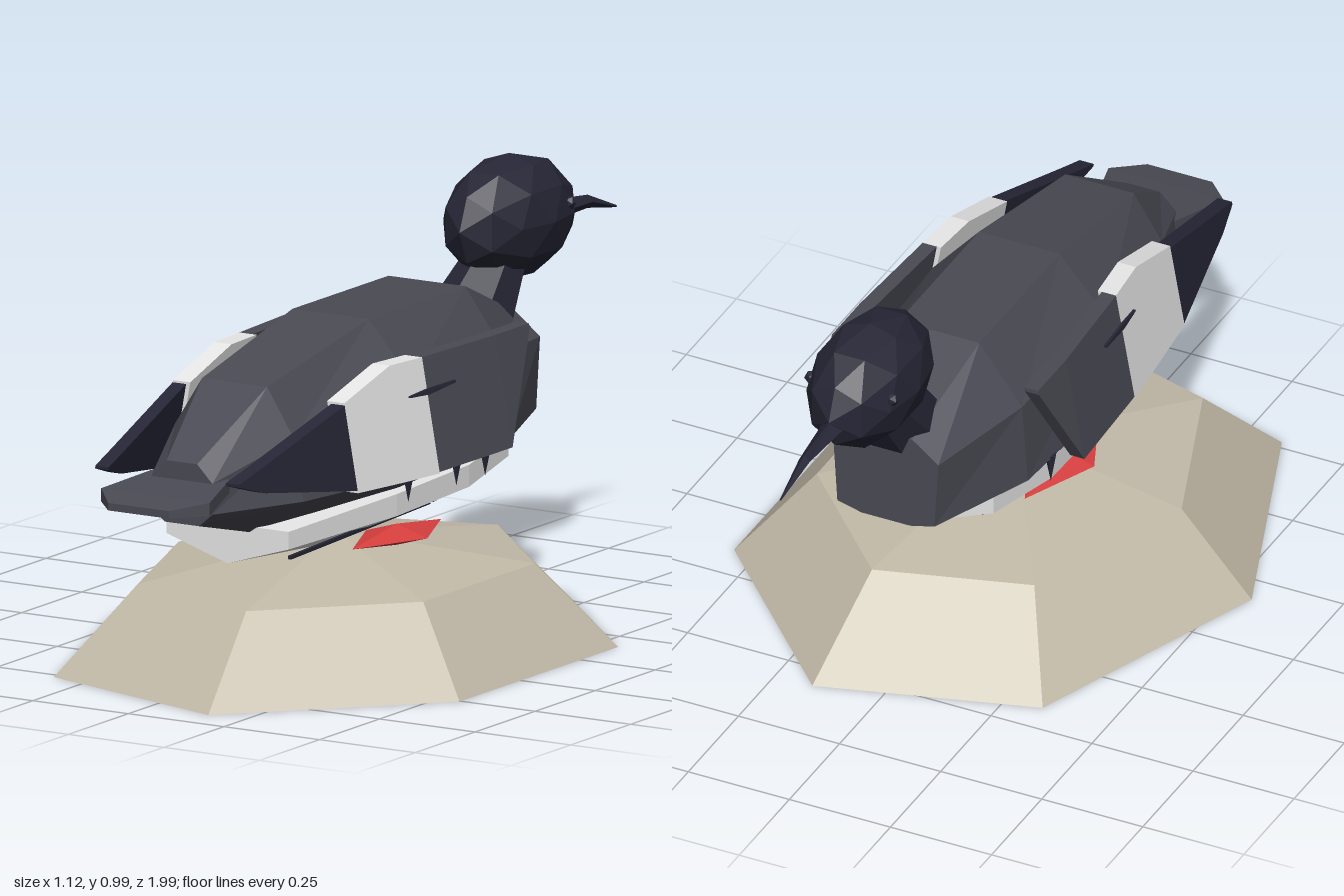
import * as THREE from 'three';

const material = (name, color) => {
  const m = new THREE.MeshStandardMaterial({ color });
  m.name = name;
  m.flatShading = true;
  return m;
};

// Skin a list of { z, ring } sections; each ring is [x, y] points, counter-clockwise seen from +z.
function loft(sections) {
  const pos = [];
  const tri = (...pts) => pts.forEach((p) => pos.push(...p));
  const rings = sections.map(({ z, ring }) => ring.map(([x, y]) => [x, y, z]));
  const n = rings[0].length;
  for (let k = 0; k < rings.length - 1; k++) {
    for (let i = 0; i < n; i++) {
      const j = (i + 1) % n;
      const a = rings[k][i], b = rings[k][j], c = rings[k + 1][j], d = rings[k + 1][i];
      tri(a, b, d);
      tri(b, c, d);
    }
  }
  const first = rings[0], last = rings[rings.length - 1];
  for (let i = 1; i < n - 1; i++) {
    tri(first[0], first[i + 1], first[i]);
    tri(last[0], last[i], last[i + 1]);
  }
  const g = new THREE.BufferGeometry();
  g.setAttribute('position', new THREE.Float32BufferAttribute(pos, 3));
  g.computeVertexNormals();
  return g;
}

// Complete a right-hand half profile (bottom to top) with its mirror image.
const mirrored = (half) => [
  ...half,
  ...half.filter(([x]) => x > 0).reverse().map(([x, y]) => [-x, y]),
];
const symmetricLoft = (rows) => loft(rows.map(([z, ...half]) => ({ z, ring: mirrored(half) })));

// Outer surface of a folded wing: leans in at the top and tapers to the tail.
const wingX = (z, y) =>
  0.3 - 0.18 * (y - 0.44) - 0.08 * Math.max(z, 0) - 0.07 * Math.max(z - 0.5, 0);

function wingPanel(side, rows, thickness) {
  return loft(rows.map(([z, lo, hi]) => {
    const ring = [
      [wingX(z, lo), lo], [wingX(z, hi), hi],
      [wingX(z, hi) - thickness, hi], [wingX(z, lo) - thickness, lo],
    ];
    return { z, ring: side > 0 ? ring : ring.map(([x, y]) => [-x, y]).reverse() };
  }));
}

export function createModel() {
  const model = new THREE.Group();
  model.name = 'birdOnRock';
  model.position.x = 0.027;

  const slate = material('slate plumage', 0x4a4a54);
  const black = material('blue black plumage', 0x262636);
  const white = material('white plumage', 0xf0f0f0);
  const red = material('red feet', 0xd63e3e);
  const stone = material('stone', 0xc2baa8);

  const add = (name, geometry, mat, x = 0, y = 0, z = 0) => {
    const mesh = new THREE.Mesh(geometry, mat);
    mesh.name = name;
    mesh.position.set(x, y, z);
    model.add(mesh);
    return mesh;
  };

  // Seven-sided rock with a shallow pointed top
  const rockSide = new THREE.CylinderGeometry(0.705, 1, 0.19, 7, 1, true);
  const rockTop = new THREE.ConeGeometry(0.705, 0.075, 7, 1, true);
  const rockBottom = new THREE.CircleGeometry(1, 7).rotateX(Math.PI / 2);
  rockSide.rotateY(-Math.PI / 2);
  rockTop.rotateY(-Math.PI / 2);
  rockBottom.rotateY(Math.PI);
  [[rockSide, 'rockSide', 0.095], [rockTop, 'rockTop', 0.2275], [rockBottom, 'rockBottom', 0]]
    .forEach(([g, name, y]) => add(name, g.scale(0.587, 1, 0.762), stone, 0, y, 0.175));

  // Body: z, then bottom, flank, shoulder and back points
  add('body', symmetricLoft([
    [-0.465, [0.06, 0.42], [0.12, 0.435], [0.13, 0.6], [0.065, 0.65]],
    [-0.2, [0.07, 0.35], [0.22, 0.43], [0.205, 0.62], [0.1, 0.76]],
    [0.2, [0.06, 0.315], [0.245, 0.43], [0.215, 0.63], [0.1, 0.76]],
    [0.6, [0.06, 0.345], [0.18, 0.43], [0.155, 0.57], [0.085, 0.68]],
    [0.82, [0.045, 0.4], [0.08, 0.43], [0.08, 0.5], [0.04, 0.54]],
  ]), slate);

  // White keel under the body
  add('belly', symmetricLoft([
    [-0.27, [0, 0.3], [0.17, 0.37], [0.17, 0.415]],
    [-0.05, [0, 0.255], [0.205, 0.345], [0.205, 0.395]],
    [0.25, [0, 0.245], [0.205, 0.335], [0.205, 0.385]],
    [0.63, [0, 0.275], [0.16, 0.325], [0.16, 0.365]],
  ]), white);

  // Tail fan
  add('tail', symmetricLoft([
    [0.78, [0.1, 0.475], [0.1, 0.505]],
    [0.93, [0.142, 0.455], [0.142, 0.485]],
    [1.0, [0.08, 0.455], [0.08, 0.472]],
  ]), slate);

  // Neck, head and beak
  const neck = add('neck', new THREE.CylinderGeometry(0.065, 0.1, 0.2, 7), black, 0, 0.7, -0.44);
  neck.rotation.x = -0.75;
  const skull = new THREE.IcosahedronGeometry(1, 1).scale(0.122, 0.143, 0.207);
  add('head', skull, black, 0, 0.843, -0.543);
  add('beak', symmetricLoft([
    [-0.99, [0, 0.779], [0.002, 0.781], [0, 0.784]],
    [-0.87, [0, 0.8], [0.013, 0.815], [0, 0.83]],
    [-0.71, [0, 0.797], [0.028, 0.822], [0, 0.848]],
  ]), black);

  for (const side of [-1, 1]) {
    const label = side > 0 ? 'left' : 'right';
    // Folded wing in three coloured sections
    add(label + 'WingFront', wingPanel(side,
      [[-0.22, 0.68, 0.69], [-0.08, 0.44, 0.69], [0.2, 0.435, 0.69]], 0.035), slate);
    add(label + 'WingPatch', wingPanel(side,
      [[0.2, 0.432, 0.69], [0.32, 0.434, 0.692], [0.5, 0.44, 0.64]], 0.045), white);
    add(label + 'WingTip', wingPanel(side,
      [[0.5, 0.445, 0.635], [0.8, 0.49, 0.545], [0.88, 0.515, 0.522]], 0.035), black);
    // Dark feather sliver across the wing patch
    add(label + 'WingFeather', wingPanel(side,
      [[0.1, 0.618, 0.623], [0.2, 0.608, 0.621], [0.27, 0.612, 0.615]], -0.006)
      .scale(1, 1, 1), black).material.side = THREE.DoubleSide;

    // Webbed foot
    const foot = new THREE.OctahedronGeometry(1).scale(0.08, 0.024, 0.185);
    add(label + 'Foot', foot, red, side * 0.135, 0.265, 0.14);

    // Eye
    add(label + 'Eye', new THREE.IcosahedronGeometry(0.016, 0), black, side * 0.1, 0.868, -0.635);

    // Small dark feather tips along the flank
    for (const z of [0.23, 0.03, -0.09]) {
      const tip = new THREE.ConeGeometry(0.014, 0.07, 5).rotateX(Math.PI);
      add(label + 'FlankFeather', tip, black, side * 0.222, 0.4, z);
    }
    // Dark streaks low on the belly
    for (const [z, y, length, tilt] of [[0.28, 0.3, 0.58, 0.03], [-0.13, 0.325, 0.22, 0.13]]) {
      const streak = new THREE.BoxGeometry(0.008, 0.008, length);
      add(label + 'BellyStreak', streak, black, side * 0.125, y, z).rotation.x = tilt;
    }
  }
  return model;
}
